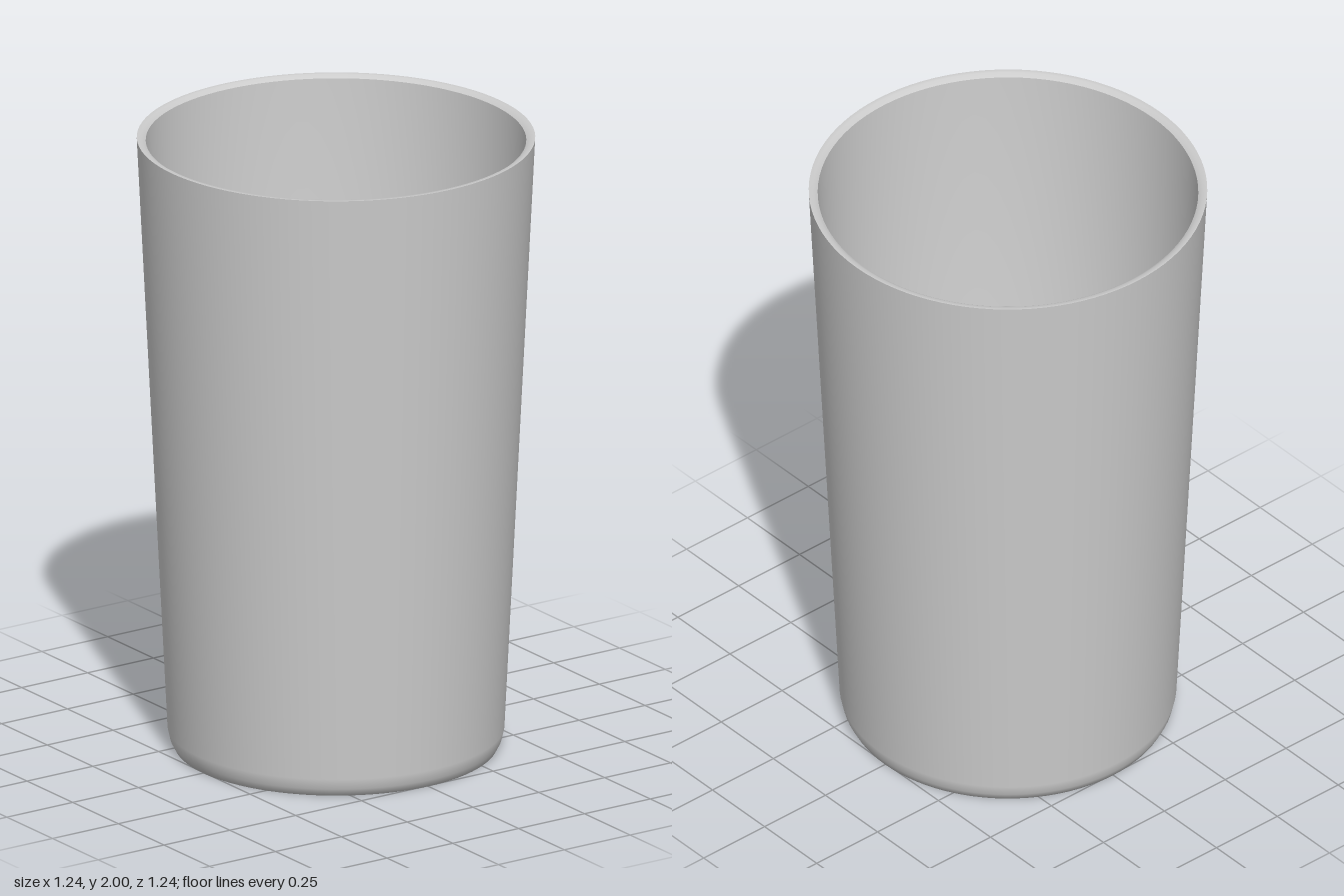
import * as THREE from 'three';
import { mergeVertices } from 'three/addons/utils/BufferGeometryUtils.js';

const SEGMENTS = 96;

// Revolve a profile, weld the seam and pole, and smooth the normals by area
function revolve(name, profile, material) {
  const points = profile.map(([r, y]) => new THREE.Vector2(r, y));
  const lathe = new THREE.LatheGeometry(points, SEGMENTS);
  lathe.deleteAttribute('uv');
  lathe.deleteAttribute('normal');
  const geometry = mergeVertices(lathe, 1e-4);
  geometry.computeVertexNormals();
  const mesh = new THREE.Mesh(geometry, material);
  mesh.name = name;
  return mesh;
}

export function createModel() {
  const cup = new THREE.Group();
  cup.name = 'cup';
  const material = new THREE.MeshStandardMaterial({ color: 0xcccccc, side: THREE.DoubleSide });

  // Base, softly chamfered foot and tapered outer wall
  cup.add(revolve('outerWall', [[0, 0], [0.505, 0], [0.518, 0.025], [0.526, 0.06], [0.622, 2]], material));

  // Narrow lip, slightly rolled towards the inside
  cup.add(revolve('rim', [[0.622, 2], [0.608, 2], [0.594, 1.99]], material));

  // Inner wall down to the floor
  cup.add(revolve('innerWall', [[0.594, 1.99], [0.5, 0.06], [0, 0.06]], material));

  return cup;
}
